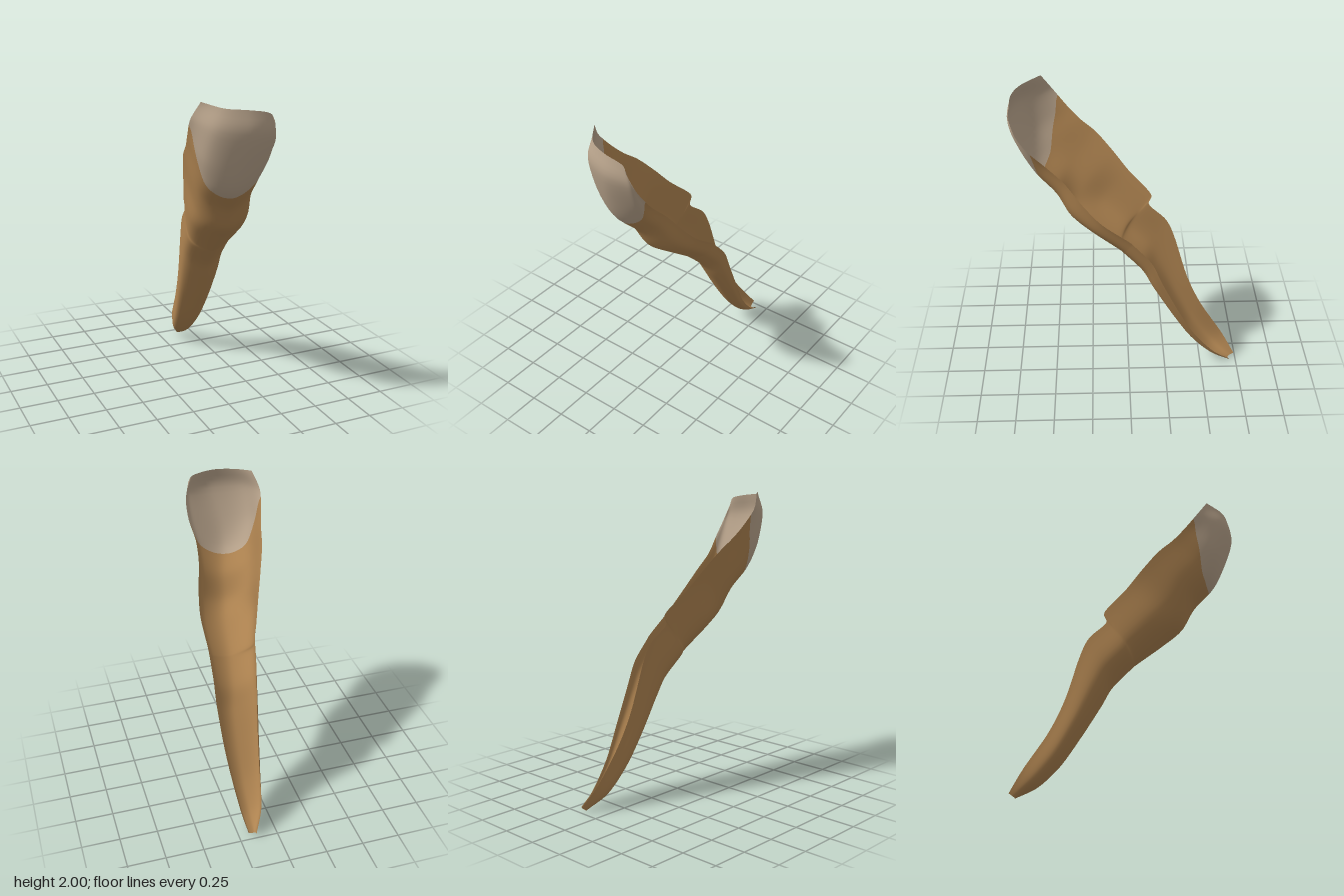
import * as THREE from 'three';

// Stations from biting edge to root tip: right rim, front ridge, left rim (x, y, z each)
const STATIONS = [
  [[-0.22, 2.0, 0.54], [0.0, 1.965, 0.712], [0.165, 1.895, 0.725]],
  [[-0.255, 1.89, 0.47], [0.0, 1.83, 0.735], [0.195, 1.78, 0.685]],
  [[-0.235, 1.78, 0.38], [-0.04, 1.61, 0.665], [0.198, 1.67, 0.61]],
  [[-0.21, 1.70, 0.30], [-0.04, 1.45, 0.59], [0.178, 1.56, 0.51]],
  [[-0.185, 1.62, 0.20], [0.0, 1.31, 0.46], [0.19, 1.45, 0.40]],
  [[-0.14, 1.50, 0.09], [0.02, 1.16, 0.375], [0.225, 1.31, 0.29]],
  [[-0.095, 1.38, -0.01], [0.05, 1.06, 0.25], [0.248, 1.18, 0.17]],
  [[-0.035, 1.24, -0.15], [0.07, 0.93, 0.08], [0.248, 1.05, 0.0]],
  [[-0.03, 1.16, -0.14], [0.08, 0.89, 0.035], [0.248, 1.01, -0.04]],
  [[-0.005, 1.06, -0.25], [0.10, 0.76, -0.09], [0.252, 0.88, -0.15]],
  [[0.01, 0.93, -0.31], [0.12, 0.63, -0.165], [0.252, 0.72, -0.22]],
  [[0.03, 0.63, -0.40], [0.13, 0.42, -0.29], [0.24, 0.47, -0.34]],
  [[0.05, 0.41, -0.50], [0.13, 0.22, -0.42], [0.22, 0.27, -0.45]],
  [[0.08, 0.18, -0.65], [0.13, 0.08, -0.555], [0.20, 0.10, -0.59]],
  [[0.14, 0.035, -0.74], [0.145, 0.005, -0.70], [0.185, 0.02, -0.705]],
];
const LAST = STATIONS.length - 1;

// Rounded shoulder between a rim point and the front ridge
function shoulder(rim, ridge, inward, depth) {
  const mix = (i, k) => rim[i] + (ridge[i] - rim[i]) * k;
  return [mix(0, inward), mix(1, depth), mix(2, depth)];
}

// Right shoulder: slanted at the biting edge, bulging outward along the root
function rightLean(i) {
  return 0.17 + 0.25 * Math.max(0, 1 - i / 2) - 0.4 * THREE.MathUtils.smoothstep(i, 4.5, 7);
}

// Five lengthwise curves that carry the open cross-section
const rails = [0, 1, 2, 3, 4].map((k) => new THREE.CatmullRomCurve3(
  STATIONS.map(([a, f, b], i) => {
    const section = [a, shoulder(a, f, rightLean(i), 0.7), f, shoulder(b, f, 0.2, 0.65), b];
    return new THREE.Vector3(...section[k]);
  }), false, 'catmullrom', 0.45));

function surfacePoint(u, t) {
  const section = rails.map((rail) => rail.getPoint(Math.min(t / LAST, 1)));
  return new THREE.CatmullRomCurve3(section, false, 'catmullrom', 0.5).getPoint(u);
}

// Arched gum line: station value across the section
const gumLine = new THREE.SplineCurve(
  [1.35, 2.25, 3.1, 3.3, 3.3, 3.2, 2.95, 2.5, 2.1].map((t, i) => new THREE.Vector2(i / 8, t)));

function toothGeometry() {
  const across = 32, crownRows = 16, rootRows = 72;
  const rows = crownRows + rootRows;
  const positions = [], index = [];
  for (let r = 0; r <= rows; r++) {
    for (let c = 0; c <= across; c++) {
      const u = c / across;
      const g = gumLine.getPoint(u).y;
      const t = r <= crownRows
        ? g * r / crownRows
        : g + (LAST - g) * (r - crownRows) / rootRows;
      positions.push(...surfacePoint(u, t).toArray());
    }
  }
  for (let r = 0; r < rows; r++) {
    for (let c = 0; c < across; c++) {
      const a = r * (across + 1) + c, b = a + 1;
      const d = a + across + 1, e = d + 1;
      index.push(a, d, b, b, d, e);
    }
  }
  const geometry = new THREE.BufferGeometry();
  geometry.setAttribute('position', new THREE.Float32BufferAttribute(positions, 3));
  geometry.setIndex(index);
  // Crown rows first, root rows after, sharing smooth normals at the gum line
  geometry.addGroup(0, crownRows * across * 6, 0);
  geometry.addGroup(crownRows * across * 6, rootRows * across * 6, 1);
  geometry.computeVertexNormals();
  return geometry;
}

export function createModel() {
  const enamel = new THREE.MeshStandardMaterial({ color: 0xb9a48c, side: THREE.DoubleSide });
  enamel.name = 'enamel';
  const dentine = new THREE.MeshStandardMaterial({ color: 0xae8350, side: THREE.DoubleSide });
  dentine.name = 'root brown';

  const tooth = new THREE.Mesh(toothGeometry(), [enamel, dentine]);
  tooth.name = 'toothCrownAndRoot';

  const group = new THREE.Group();
  group.name = 'tooth';
  group.add(tooth);
  return group;
}
